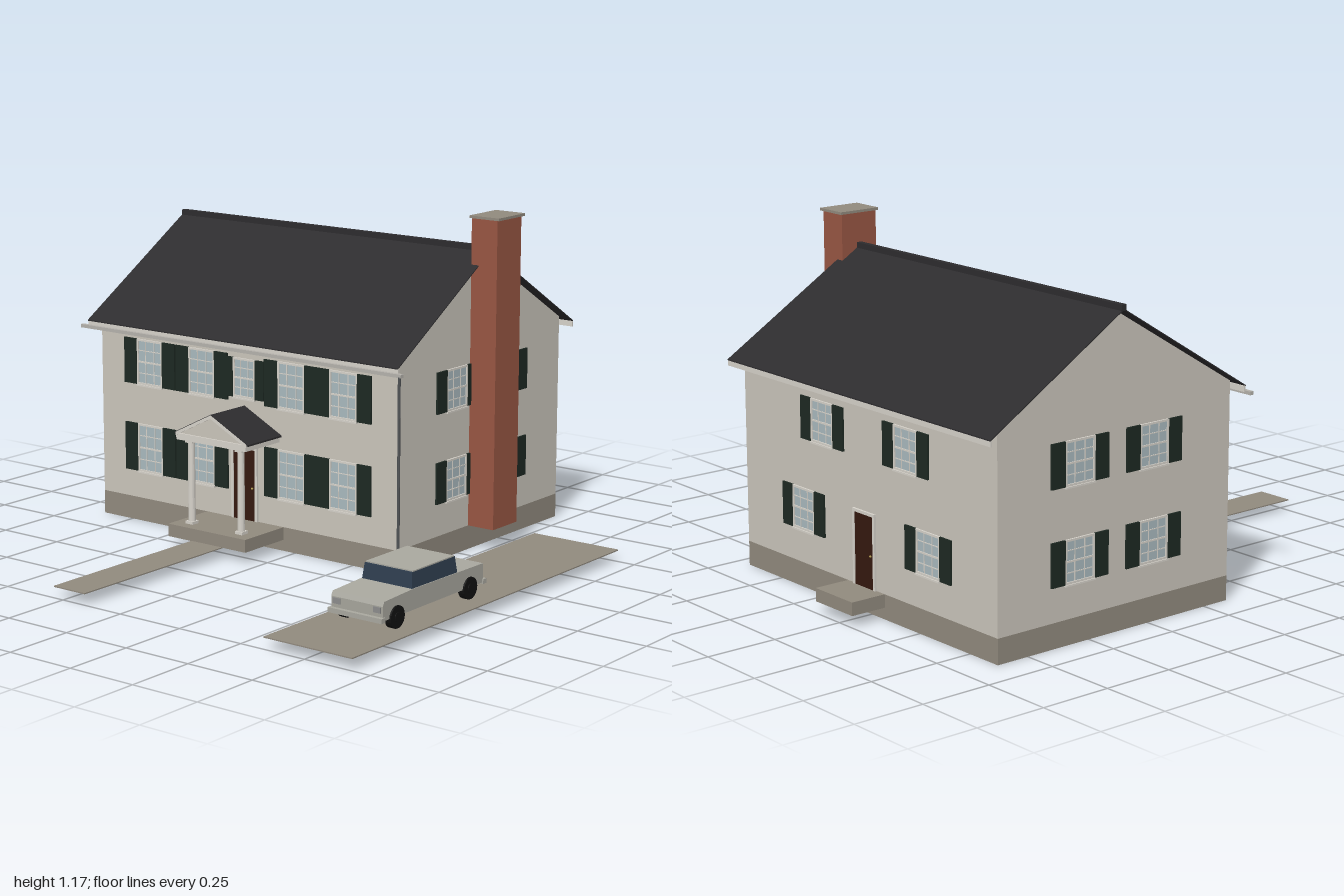
import * as THREE from 'three';

const paint = (color) => new THREE.MeshStandardMaterial({ color, flatShading: true });
const M = {
  wall: paint(0xcac5bb), stone: paint(0x918a7e), trim: paint(0xd6d2ca), brick: paint(0x985643),
  shutter: paint(0x1d2822), glass: paint(0xa9b9be), roof: paint(0x2d2c2e), door: paint(0x35190f),
  metal: paint(0x8c8c8c), carBody: paint(0xa9a89f), carGlass: paint(0x2e3d4e), tyre: paint(0x111111),
  knob: paint(0xb09a50), gutter: paint(0xb5b2ac), downspout: paint(0x505356),
};

function add(parent, name, geometry, material, x = 0, y = 0, z = 0) {
  const mesh = new THREE.Mesh(geometry, material);
  mesh.name = name;
  mesh.position.set(x, y, z);
  parent.add(mesh);
  return mesh;
}

// Box given by its extents along each axis
function box(parent, name, material, [x0, x1], [y0, y1], [z0, z1]) {
  return add(parent, name, new THREE.BoxGeometry(x1 - x0, y1 - y0, z1 - z0), material,
    (x0 + x1) / 2, (y0 + y1) / 2, (z0 + z1) / 2);
}

function group(parent, name, x = 0, y = 0, z = 0, turn = 0) {
  const g = new THREE.Group();
  g.name = name;
  g.position.set(x, y, z);
  g.rotation.y = turn;
  parent.add(g);
  return g;
}

// Straight prism of a polygon, running along +z
function prism(points, depth) {
  const shape = new THREE.Shape(points.map(([x, y]) => new THREE.Vector2(x, y)));
  return new THREE.ExtrudeGeometry(shape, { depth, bevelEnabled: false });
}

// Thin pair of roof slopes, ridge along +z
function roofSlopes(half, eave, ridge, thick, depth) {
  return prism([[-half, eave - thick], [0, ridge - thick], [half, eave - thick],
    [half, eave], [0, ridge], [-half, eave]], depth);
}

// Sash window with frame, glazing bars, sill and two shutters, facing +z
function addWindow(wall, x, y0, y1, width, shutter) {
  const g = group(wall, 'window', x, (y0 + y1) / 2);
  const h = (y1 - y0) / 2, w = width / 2, t = 0.007;
  box(g, 'glass', M.glass, [-w + t, w - t], [-h + t, h - t], [-0.002, 0.002]);
  for (const s of [-1, 1]) {
    add(g, 'frameSide', new THREE.BoxGeometry(t, h * 2, 0.008), M.trim, s * (w - t / 2), 0, 0.002);
    add(g, 'frameRail', new THREE.BoxGeometry(width - 2 * t, t, 0.008), M.trim, 0, s * (h - t / 2), 0.002);
    add(g, 'shutter', new THREE.BoxGeometry(shutter, h * 2, 0.01), M.shutter, s * (w + shutter / 2), 0, 0.002);
    add(g, 'glazingBar', new THREE.BoxGeometry(0.003, 2 * (h - t), 0.004), M.trim, s * w / 3, 0, 0.002);
    add(g, 'glazingBar', new THREE.BoxGeometry(width - 2 * t, 0.003, 0.004), M.trim, 0, s * h / 2, 0.002);
  }
  box(g, 'meetingRail', M.trim, [-w + t, w - t], [-0.003, 0.003], [0, 0.005]);
  box(g, 'sill', M.trim, [-w, w], [-h - 0.006, -h], [-0.002, 0.01]);
}

function addDoor(wall, x, y0, y1) {
  const g = group(wall, 'door', x, 0, 0);
  box(g, 'doorPanel', M.door, [-0.048, 0.048], [y0, y1], [-0.002, 0.005]);
  for (const s of [-1, 1]) {
    add(g, 'doorCasing', new THREE.BoxGeometry(0.01, y1 - y0, 0.012), M.trim, s * 0.053, (y0 + y1) / 2, 0.002);
  }
  box(g, 'doorLintel', M.trim, [-0.058, 0.058], [y1, y1 + 0.01], [-0.004, 0.008]);
  add(g, 'doorKnob', new THREE.SphereGeometry(0.004, 8, 6), M.knob, 0.037, (y0 + y1) / 2 - 0.01, 0.008);
}

const X0 = -0.885, X1 = 0.44, Z0 = -0.87, Z1 = 0.1, RIDGE_Z = -0.385, BASE = 0.085;

function buildHouse(model) {
  const house = group(model, 'house');
  box(house, 'foundation', M.stone, [X0, X1], [0, BASE], [Z0, Z1]);
  const half = (Z1 - Z0) / 2;
  const gable = prism([[-half, BASE], [half, BASE], [half, 0.74], [0, 1.032], [-half, 0.74]], X1 - X0);
  add(house, 'walls', gable, M.wall, X0, 0, RIDGE_Z).rotation.y = Math.PI / 2;

  // Main roof, ridge cap, gutters and downspout
  add(house, 'mainRoof', roofSlopes(0.532, 0.722, 1.047, 0.004, 1.38), M.roof, -0.91, 0, RIDGE_Z).rotation.y = Math.PI / 2;
  box(house, 'ridgeCap', M.roof, [-0.91, 0.47], [1.04, 1.06], [RIDGE_Z - 0.01, RIDGE_Z + 0.01]);
  box(house, 'frontFascia', M.trim, [-0.91, 0.47], [0.7, 0.72], [0.139, 0.145]);
  box(house, 'backFascia', M.trim, [-0.91, 0.47], [0.7, 0.72], [-0.916, -0.911]);
  box(house, 'frontGutter', M.gutter, [-0.935, 0.49], [0.693, 0.705], [0.143, 0.158]);
  add(house, 'downspout', new THREE.CylinderGeometry(0.005, 0.005, 0.655, 8), M.downspout, 0.482, 0.3675, 0.155);

  // Chimney
  box(house, 'chimney', M.brick, [X1, 0.545], [BASE, 1.163], [-0.457, -0.313]);
  box(house, 'chimneyCap', M.stone, [0.434, 0.555], [1.163, 1.172], [-0.465, -0.307]);

  // Front wall
  const front = group(house, 'frontWallOpenings', 0, 0, Z1);
  for (const x of [-0.655, -0.413, -0.012, 0.212]) {
    addWindow(front, x, 0.505, 0.67, 0.118, 0.059);
    addWindow(front, x, 0.185, 0.36, 0.118, 0.059);
  }
  addWindow(front, -0.22, 0.52, 0.66, 0.098, 0.038);
  addDoor(front, -0.22, BASE, 0.34);

  // Back wall (local x is mirrored)
  const back = group(house, 'backWallOpenings', 0, 0, Z0, Math.PI);
  for (const x of [0, -0.44]) addWindow(back, -x, 0.515, 0.66, 0.12, 0.055);
  for (const x of [0.11, -0.55]) addWindow(back, -x, 0.2, 0.345, 0.12, 0.055);
  addDoor(back, 0.22, BASE, 0.33);

  // Side walls
  for (const s of [-1, 1]) {
    const side = group(house, s > 0 ? 'leftWallOpenings' : 'rightWallOpenings', s > 0 ? X1 : X0, 0, 0, s * Math.PI / 2);
    for (const z of [-0.232, -0.542]) {
      addWindow(side, -s * z, 0.515, 0.66, 0.122, 0.056);
      addWindow(side, -s * z, 0.2, 0.345, 0.122, 0.056);
    }
  }
}

function buildPorch(model) {
  const porch = group(model, 'porch', -0.222, 0, Z1);
  box(porch, 'porchSlab', M.stone, [-0.173, 0.173], [0.04, BASE], [0, 0.21]);
  for (const s of [-1, 1]) {
    const x = s * 0.111;
    add(porch, 'column', new THREE.CylinderGeometry(0.012, 0.013, 0.3, 16), M.trim, x, 0.235, 0.155);
    box(porch, 'columnBase', M.trim, [x - 0.016, x + 0.016], [BASE, BASE + 0.01], [0.139, 0.171]);
    box(porch, 'columnCapital', M.trim, [x - 0.016, x + 0.016], [0.375, 0.386], [0.139, 0.171]);
  }
  box(porch, 'entablature', M.trim, [-0.155, 0.155], [0.385, 0.408], [0, 0.184]);
  add(porch, 'pediment', prism([[-0.153, 0.408], [0.153, 0.408], [0, 0.485]], 0.178), M.wall);
  add(porch, 'porchRoof', roofSlopes(0.164, 0.41, 0.493, 0.006, 0.183), M.roof);
  add(porch, 'pedimentRake', roofSlopes(0.158, 0.411, 0.491, 0.012, 0.004), M.trim, 0, 0, 0.181);
}

function buildCar(model) {
  const car = group(model, 'car', 0.76, 0, 0.478);
  const lower = prism([[-0.27, 0.078], [0.27, 0.078], [0.272, 0.125], [0.265, 0.14], [0.12, 0.146], [-0.27, 0.142]], 0.2);
  // Profile runs along the car with its nose toward +z
  add(car, 'carBody', lower, M.carBody, 0.1, 0, 0).rotation.y = -Math.PI / 2;
  const cabin = new THREE.BoxGeometry(0.195, 0.054, 0.245);
  const p = cabin.attributes.position;
  for (let i = 0; i < p.count; i++) {
    if (p.getY(i) > 0) p.setXYZ(i, p.getX(i) * 0.94, p.getY(i), p.getZ(i) * 0.95);
  }
  add(car, 'carCabin', cabin, M.carGlass, 0, 0.17, -0.006);
  box(car, 'carRoof', M.carBody, [-0.092, 0.092], [0.197, 0.201], [-0.117, 0.104]);
  for (const s of [-1, 1]) {
    box(car, 'bumper', M.carBody, [-0.105, 0.105], [0.074, 0.09], s > 0 ? [0.265, 0.285] : [-0.283, -0.265]);
    for (const z of [-0.193, 0.202]) {
      add(car, 'wheel', new THREE.CylinderGeometry(0.037, 0.037, 0.024, 20), M.tyre, s * 0.094, 0.077, z).rotation.z = Math.PI / 2;
      add(car, 'hubcap', new THREE.CylinderGeometry(0.016, 0.016, 0.002, 16), M.tyre, s * 0.107, 0.077, z).rotation.z = Math.PI / 2;
    }
    for (const z of [-0.271, 0.272]) {
      box(car, 'lamp', M.metal, [s * 0.078 - 0.014, s * 0.078 + 0.014], [0.103, 0.122], [z - 0.002, z + 0.003]);
    }
  }
}

export function createModel() {
  const model = new THREE.Group();
  model.name = 'houseWithDriveway';
  buildHouse(model);
  buildPorch(model);
  box(model, 'backStep', M.stone, [-0.32, -0.125], [0.04, BASE], [-1, Z0]);
  box(model, 'frontWalk', M.stone, [-0.29, -0.153], [0.037, 0.041], [0.3, 1]);
  box(model, 'driveway', M.stone, [0.59, 0.932], [0.037, 0.041], [-0.505, 1]);
  buildCar(model);
  return model;
}
